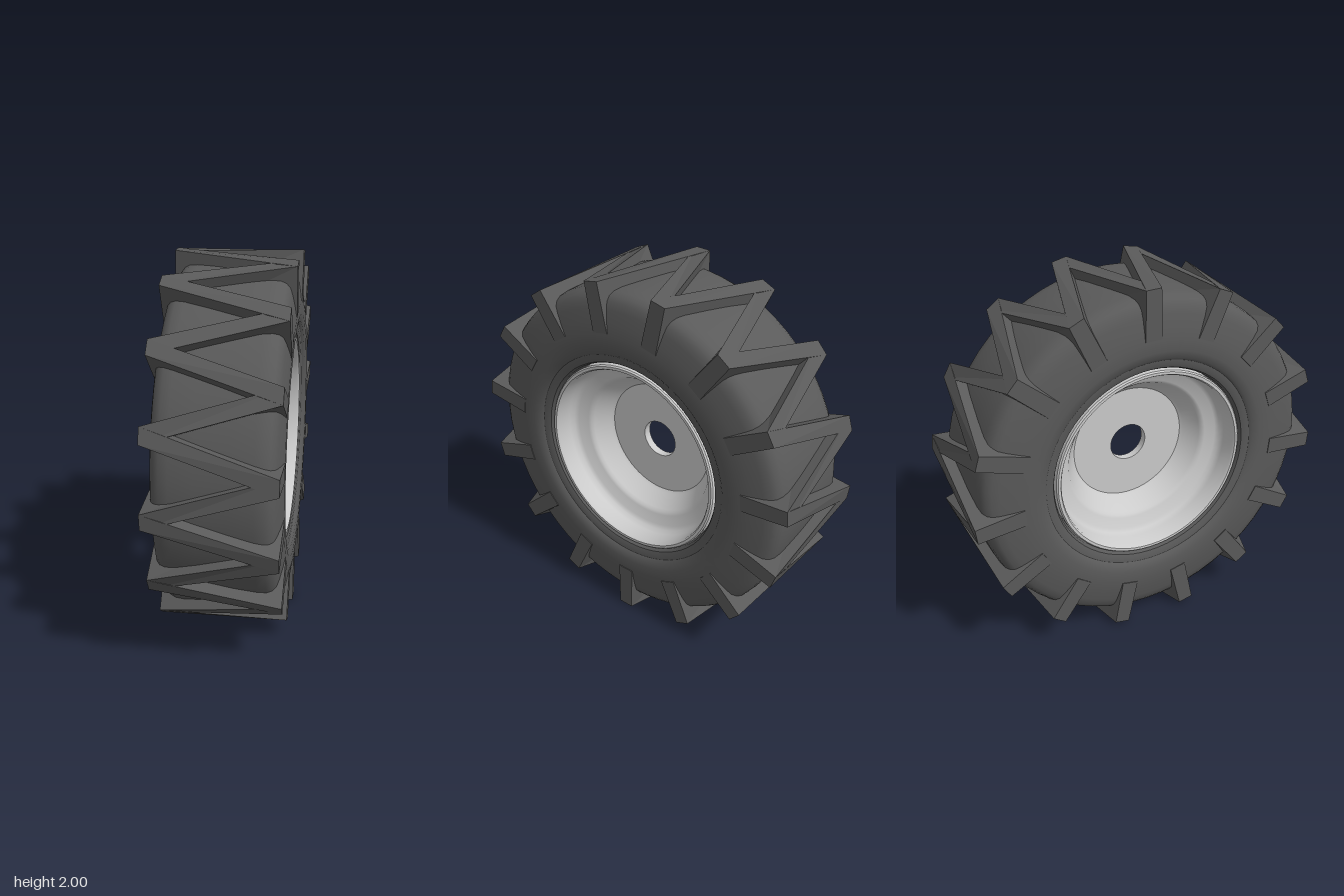
import * as THREE from 'three';
import { toCreasedNormals } from 'three/addons/utils/BufferGeometryUtils.js';

const LUG_PAIRS = 15;
const HALF_WIDTH = 0.325;

// Mirrors a half profile of [radius, x] (running from the middle of the outer
// surface to the middle of the inner one) and spins it into a closed ring on x.
function ring(half, segments, crease) {
  const mirrored = half.map(([r, x]) => [r, -x]).reverse();
  const points = [...mirrored, ...half, mirrored[0]].map(([r, x]) => new THREE.Vector2(r, x));
  const geometry = new THREE.LatheGeometry(points, segments);
  geometry.rotateZ(-Math.PI / 2);
  return toCreasedNormals(geometry, crease);
}

// Straight bar across the tread, from one angle at +x to another at -x
function lugGeometry(angleLeft, angleRight) {
  const geometry = new THREE.BoxGeometry(2, 2, 2);
  const p = geometry.attributes.position;
  for (let i = 0; i < p.count; i++) {
    const side = p.getX(i);
    const top = p.getY(i) > 0;
    const a = side > 0 ? angleLeft : angleRight;
    const r = top ? 0.997 : 0.73;
    const w = p.getZ(i) * (top ? 0.042 : 0.046);
    p.setXYZ(i, side * HALF_WIDTH,
      r * Math.sin(a) - w * Math.cos(a),
      r * Math.cos(a) + w * Math.sin(a));
  }
  geometry.computeVertexNormals();
  return geometry;
}

export function createModel() {
  const rubber = new THREE.MeshStandardMaterial({ color: 0x5a5a5a });
  const lugRubber = new THREE.MeshStandardMaterial({ color: 0x5a5a5a, flatShading: true });
  const metal = new THREE.MeshStandardMaterial({ color: 0xcccccc });

  const wheel = new THREE.Group();
  wheel.name = 'wheel';
  wheel.position.y = 1;

  // Tyre carcass: crown, rounded shoulder, sidewall and bead
  const tyre = new THREE.Mesh(ring([
    [0.94, 0.08], [0.937, 0.2], [0.93, 0.245], [0.915, 0.272], [0.89, 0.291],
    [0.85, 0.302], [0.78, 0.315], [0.72, 0.323], [0.66, 0.323], [0.62, 0.315],
    [0.605, 0.302], [0.58, 0.3], [0.56, 0.292], [0.55, 0.275],
  ], 64, 0.6), rubber);
  tyre.name = 'tyre';
  wheel.add(tyre);

  // Rim: outer band, flange, barrel, stepped dish and centre disc with hub hole
  const rim = new THREE.Mesh(ring([
    [0.542, 0.285], [0.535, 0.293], [0.52, 0.293], [0.512, 0.28], [0.505, 0.2],
    [0.495, 0.17], [0.475, 0.155], [0.42, 0.138], [0.405, 0.13], [0.395, 0.115],
    [0.34, 0.035], [0.325, 0.022], [0.105, 0.022],
  ], 64, 0.7), metal);
  rim.name = 'rim';
  wheel.add(rim);

  // Zigzag lugs meeting in pairs at both edges of the tread
  const lugs = new THREE.Group();
  lugs.name = 'treadLugs';
  const step = (Math.PI * 2) / LUG_PAIRS;
  const phase = THREE.MathUtils.degToRad(7);
  for (let i = 0; i < LUG_PAIRS; i++) {
    const a = phase + i * step;
    for (const turn of [-1, 1]) {
      const lug = new THREE.Mesh(lugGeometry(a, a + turn * step / 2), lugRubber);
      lug.name = 'lug';
      lugs.add(lug);
    }
  }
  wheel.add(lugs);

  const model = new THREE.Group();
  model.name = 'tractorWheel';
  model.add(wheel);
  return model;
}
